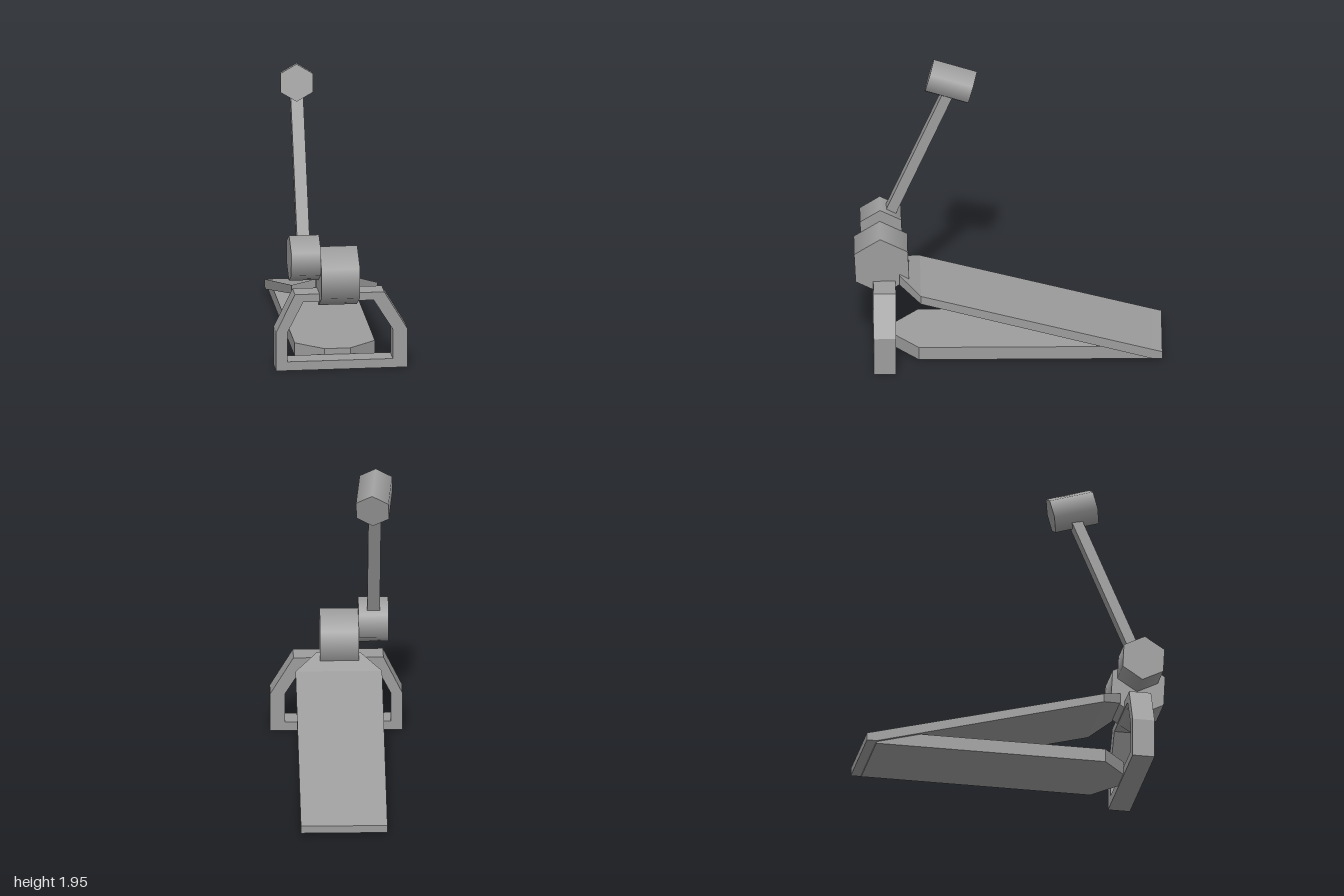
import * as THREE from 'three';

const material = new THREE.MeshStandardMaterial({ color: 0x9d9d9d });
const CX = -0.014; // centre line of the two plates

function part(name, geometry) {
  const mesh = new THREE.Mesh(geometry, material);
  mesh.name = name;
  return mesh;
}

// Plate lofted through sections [z, halfWidth, yBottom, yTop], front to back
function plate(name, sections) {
  const pos = [];
  const rings = sections.map(([z, w, y0, y1]) => [
    [CX - w, y0, z], [CX + w, y0, z], [CX + w, y1, z], [CX - w, y1, z],
  ]);
  const quad = (a, b, c, d) => pos.push(...a, ...b, ...c, ...a, ...c, ...d);
  quad(...rings[0]);
  for (let i = 0; i < rings.length - 1; i++) {
    const f = rings[i], b = rings[i + 1];
    for (let k = 0; k < 4; k++) {
      const n = (k + 1) % 4;
      quad(f[n], f[k], b[k], b[n]);
    }
  }
  quad(...rings[rings.length - 1].slice().reverse());
  const g = new THREE.BufferGeometry();
  g.setAttribute('position', new THREE.Float32BufferAttribute(pos, 3));
  g.computeVertexNormals();
  return part(name, g);
}

// Six-sided drum lying across the model, one corner up
function hub(name, radius, x0, x1, y, z) {
  const g = new THREE.CylinderGeometry(radius, radius, x1 - x0, 6);
  g.rotateZ(Math.PI / 2).rotateX(-Math.PI / 2 + 0.05);
  const mesh = part(name, g);
  mesh.position.set((x0 + x1) / 2, y, z);
  return mesh;
}

// Place a mesh whose length runs along z between two points
function span(mesh, from, to) {
  mesh.position.copy(from).lerp(to, 0.5);
  mesh.lookAt(to);
  return mesh;
}

export function createModel() {
  const model = new THREE.Group();
  model.name = 'footPedal';
  const v = (x, y) => new THREE.Vector2(x, y);

  // Upright hoop frame
  const outline = new THREE.Shape([
    v(-0.43, 0), v(0.428, 0), v(0.428, 0.26), v(0.277, 0.513), v(-0.307, 0.513), v(-0.43, 0.26),
  ]);
  outline.holes.push(new THREE.Path([
    v(-0.355, 0.06), v(-0.355, 0.26), v(-0.253, 0.46), v(0.207, 0.46), v(0.332, 0.26), v(0.332, 0.06),
  ]));
  const frame = new THREE.ExtrudeGeometry(outline, { depth: 0.145, bevelEnabled: false });
  frame.translate(0, 0, 0.73);
  model.add(part('frame', frame));

  // Base plate, wedged under the heel
  model.add(plate('basePlate', [
    [0.735, 0.085, 0.01, 0.1],
    [0.58, 0.262, 0.01, 0.1],
    [-0.64, 0.262, 0.01, 0.1],
    [-0.935, 0.262, 0.01, 0.021],
  ]));

  // Sloping footboard with narrowed toe
  model.add(plate('footboard', [
    [0.703, 0.14, 0.495, 0.563],
    [0.567, 0.281, 0.43, 0.487],
    [-0.935, 0.281, 0.02, 0.087],
    [-1, 0.281, 0.02, 0.07],
  ]));

  // Drive cam and beater hub
  model.add(hub('cam', 0.201, -0.147, 0.105, 0.619, 0.82));
  model.add(hub('beaterHub', 0.155, -0.34, -0.145, 0.745, 0.82));

  // Square beater shaft
  const low = new THREE.Vector3(-0.243, 0.77, 0.795);
  const high = new THREE.Vector3(-0.243, 1.74, 0.378);
  const shaftLength = low.distanceTo(high);
  model.add(span(part('beaterShaft', new THREE.BoxGeometry(0.082, 0.07, shaftLength)), low, high));

  // Beater head
  const back = new THREE.Vector3(-0.225, 1.762, 0.228);
  const front = new THREE.Vector3(-0.255, 1.837, 0.508);
  const head = new THREE.CylinderGeometry(0.122, 0.122, back.distanceTo(front), 6);
  head.rotateX(Math.PI / 2);
  model.add(span(part('beaterHead', head), back, front));

  return model;
}
